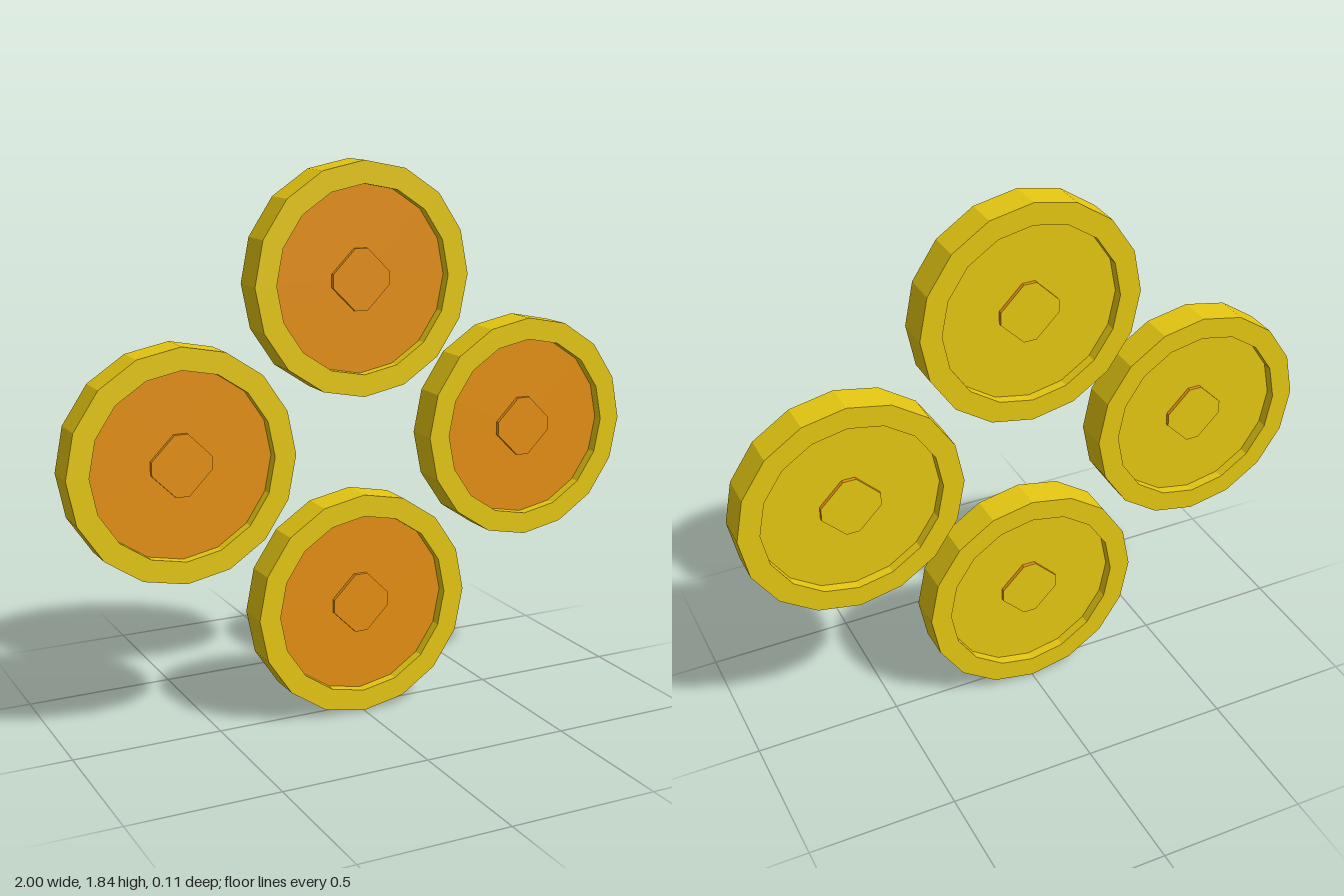
import * as THREE from 'three';

const RIM_R = 0.378, DISC_R = 0.305, HALF = 0.057, FLOOR = 0.023, BOSS = 0.036;

// Regular polygon with a corner on each axis
function polygon(radius, sides) {
  return Array.from({ length: sides }, (_, i) => {
    const a = (i / sides) * Math.PI * 2;
    return new THREE.Vector2(Math.cos(a) * radius, Math.sin(a) * radius);
  });
}

// Straight extrusion running from z0 to z1
function slab(shape, z0, z1) {
  return new THREE.ExtrudeGeometry(shape, { depth: z1 - z0, bevelEnabled: false }).translate(0, 0, z0);
}

export function createModel() {
  const gold = new THREE.MeshStandardMaterial({ color: 0xe6c812 });
  gold.name = 'gold';
  const orange = new THREE.MeshStandardMaterial({ color: 0xe69012 });
  orange.name = 'orange';

  // Raised rim ring
  const ring = new THREE.Shape(polygon(RIM_R, 16));
  ring.holes.push(new THREE.Path(polygon(DISC_R, 16)));
  const rimGeo = slab(ring, -HALF, HALF);

  // Recessed faces
  const discGeo = new THREE.CircleGeometry(DISC_R, 16);

  // Diamond boss with clipped corners
  const a = 0.1, b = 0.022;
  const diamond = new THREE.Shape([
    [a, -b], [a, b], [b, a], [-b, a], [-a, b], [-a, -b], [-b, -a], [b, -a],
  ].map(([x, y]) => new THREE.Vector2(x, y)));
  const bossGeo = slab(diamond, FLOOR, BOSS);

  function makeCoin(name, x, y) {
    const coin = new THREE.Group();
    coin.name = name;
    coin.position.set(x, y, 0);
    const add = (part, geo, mat, turn = 0) => {
      const mesh = new THREE.Mesh(geo, mat);
      mesh.name = part;
      mesh.rotation.y = turn;
      coin.add(mesh);
      return mesh;
    };
    add('rim', rimGeo, gold);
    add('frontDisc', discGeo, orange).position.z = FLOOR;
    add('backDisc', discGeo, gold, Math.PI).position.z = -FLOOR;
    add('frontBoss', bossGeo, orange);
    add('backBoss', bossGeo, [gold, orange], Math.PI); // gold cap, orange sides
    return coin;
  }

  const model = new THREE.Group();
  model.name = 'coins';
  model.add(
    makeCoin('topCoin', 0, 1.462),
    makeCoin('bottomCoin', 0, RIM_R),
    makeCoin('leftCoin', 0.622, 0.92),
    makeCoin('rightCoin', -0.622, 0.92),
  );
  return model;
}
